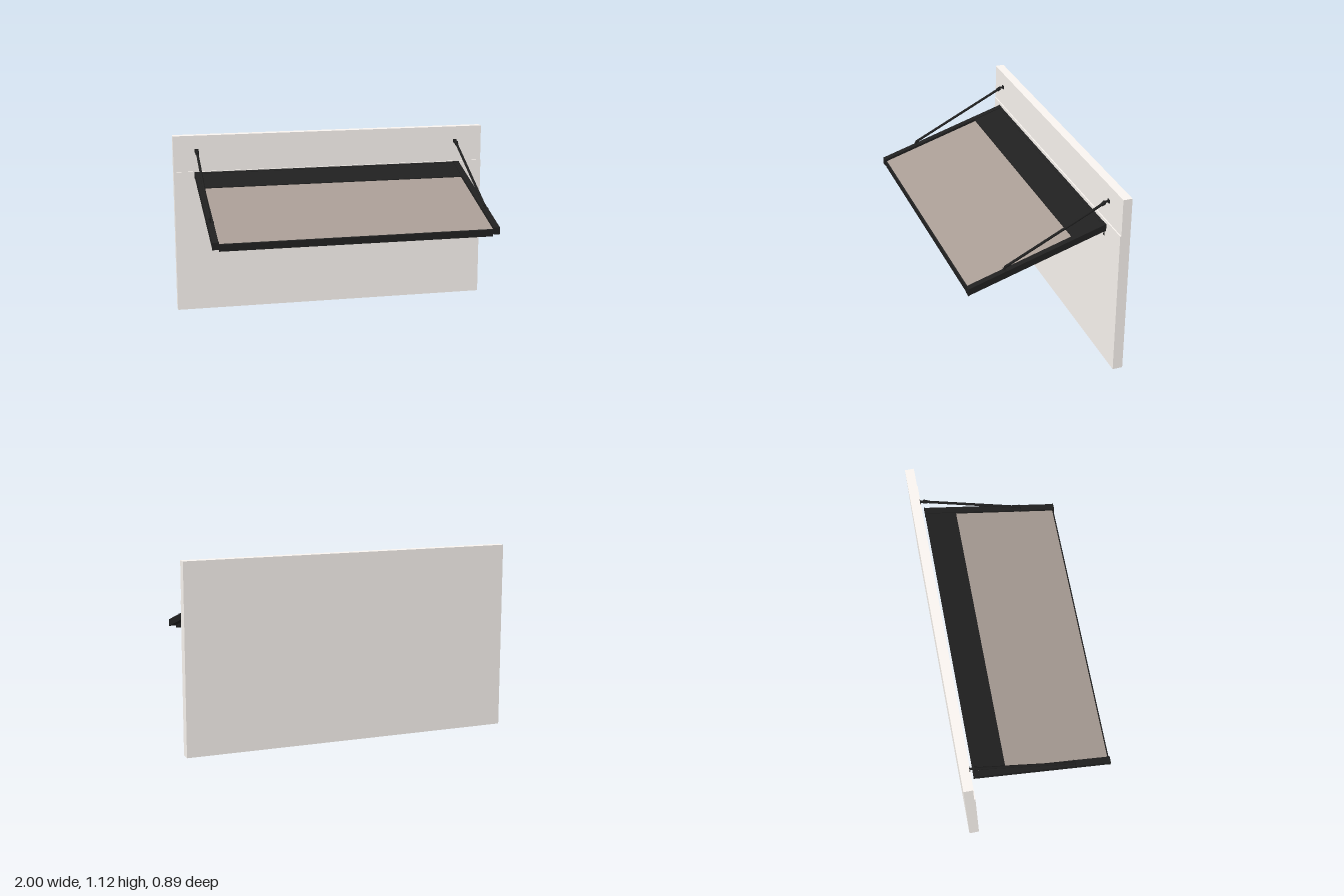
import * as THREE from 'three';

const wallMat = new THREE.MeshStandardMaterial({ color: 0xfaf5f0 });
const darkMat = new THREE.MeshStandardMaterial({ color: 0x202020 });
const fabricMat = new THREE.MeshStandardMaterial({ color: 0xa99d95 });

const LEFT = 0.847, RIGHT = -0.873, RAIL = 0.041; // outer frame edges, rail width
const SLOPE = -0.3123;
const topY = (z) => 0.635 + SLOPE * (z - 0.443); // top of the sloping rails

// Extrude a side profile of [z, y] points from x0 to x1
function extrudeX(name, points, x0, x1, mat) {
  const shape = new THREE.Shape(points.map(([z, y]) => new THREE.Vector2(z, y)));
  const geo = new THREE.ExtrudeGeometry(shape, { depth: x1 - x0, bevelEnabled: false });
  geo.rotateY(-Math.PI / 2).translate(x1, 0, 0);
  const mesh = new THREE.Mesh(geo, mat);
  mesh.name = name;
  return mesh;
}

// Sloping slab between z0 and z1, from a to b below the rail tops, with upright ends
function slab(name, z0, z1, a, b, x0, x1, mat) {
  return extrudeX(name, [
    [z0, topY(z0) - b], [z1, topY(z1) - b], [z1, topY(z1) - a], [z0, topY(z0) - a],
  ], x0, x1, mat);
}

// Round bar between two points
function bar(name, a, b, r) {
  const dir = b.clone().sub(a);
  const mesh = new THREE.Mesh(new THREE.CylinderGeometry(r, r, dir.length(), 14), darkMat);
  mesh.quaternion.setFromUnitVectors(new THREE.Vector3(0, 1, 0), dir.normalize());
  mesh.position.addVectors(a, b).multiplyScalar(0.5);
  mesh.name = name;
  return mesh;
}

function box(name, w, h, d, x, y, z) {
  const mesh = new THREE.Mesh(new THREE.BoxGeometry(w, h, d), darkMat);
  mesh.position.set(x, y, z);
  mesh.name = name;
  return mesh;
}

// Stay rod with its wall bracket, rail bracket and joints
function stay(x) {
  const g = new THREE.Group();
  g.name = 'stayRod';
  const p = (y, z, dx = 0) => new THREE.Vector3(x + dx, y, z);
  const low = p(0.72, 0.222), high = p(1.016, -0.368);
  const along = (t) => low.clone().lerp(high, t);
  g.add(
    bar('rod', low, high, 0.0078),
    bar('upperSocket', along(0.965), high, 0.011),
    bar('lowerPost', p(0.69, 0.228), low, 0.005),
    bar('lowerPin', p(0.701, 0.222, -0.023), p(0.701, 0.222, 0.023), 0.005),
    bar('upperPin', p(1.016, -0.362, -0.012), p(1.016, -0.362, 0.012), 0.006),
    box('wallPlate', 0.024, 0.022, 0.005, x, 1.021, -0.3885),
    box('wallBracket', 0.012, 0.009, 0.03, x, 1.02, -0.375),
  );
  return g;
}

export function createModel() {
  const model = new THREE.Group();

  // Wall, slightly thinner above the awning
  model.add(extrudeX('wall', [
    [-0.445, 0], [-0.384, 0], [-0.384, 0.89], [-0.391, 0.89], [-0.391, 1.115], [-0.445, 1.115],
  ], -1, 1, wallMat));

  // Sloping frame
  const awning = new THREE.Group();
  awning.name = 'awning';
  model.add(awning);
  const inL = LEFT - RAIL, inR = RIGHT + RAIL;
  awning.add(
    slab('frontBar', 0.43, 0.438, 0.0155, 0.043, inR, inL, darkMat),
    slab('rearBar', -0.37, -0.355, 0.001, 0.043, inR, inL, darkMat),
    slab('rearCover', -0.365, -0.181, 0.003, 0.008, inR, inL, darkMat),
    slab('fabric', -0.365, 0.43, 0.015, 0.019, inR, inL, fabricMat),
  );

  // Side rails with slightly larger end caps
  for (const [side, x0, x1] of [['left', inL, LEFT], ['right', RIGHT, inR]]) {
    awning.add(slab(side + 'Rail', -0.365, 0.438, 0.0008, 0.042, x0 + 0.002, x1 - 0.002, darkMat));
    for (const z of [-0.371, 0.437]) {
      awning.add(slab(side + 'EndCap', z, z + 0.006, 0, 0.043, x0, x1, darkMat));
    }
  }

  // Upright slats under the fabric
  for (let i = 0; i < 13; i++) {
    const z = 0.431 - i * 0.0646;
    awning.add(slab('slat', z - 0.0028, z + 0.0028, 0.018, 0.059, inR, inL, darkMat));
  }

  // Stays and rear hinge brackets on both sides
  for (const x of [LEFT - 0.024, RIGHT + 0.018]) {
    model.add(stay(x));
    model.add(box('hingeTab', 0.016, 0.02, 0.014, x, 0.842, -0.355));
    model.add(box('hingePlate', 0.014, 0.04, 0.002, x, 0.827, -0.37));
  }
  return model;
}
